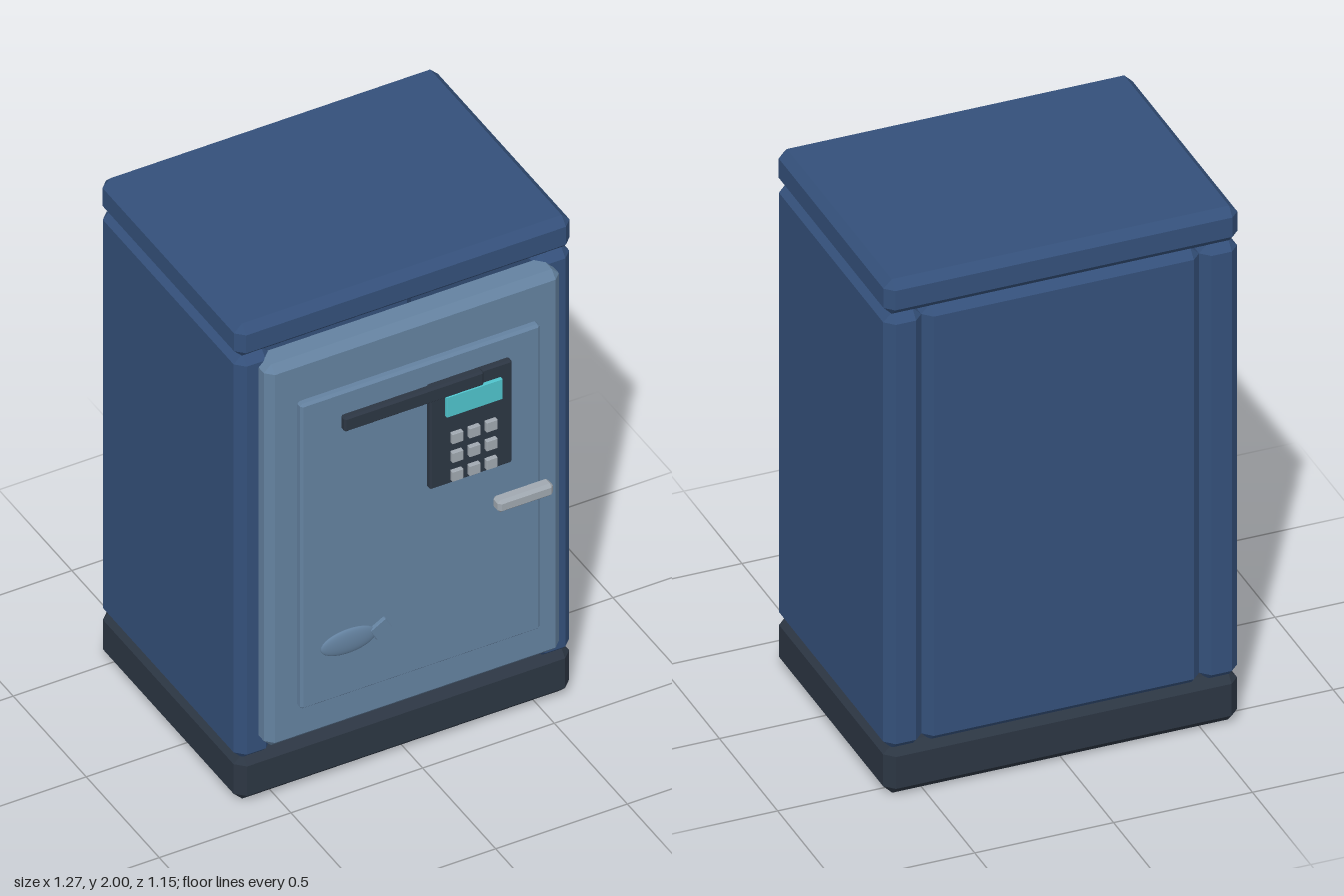
import * as THREE from 'three';
import { ConvexGeometry } from 'three/addons/geometries/ConvexGeometry.js';

const paint = (color) => new THREE.MeshStandardMaterial({ color, flatShading: true });

// Box with chamfered edges, given by its extents on each axis
function chamferBox(name, material, [x0, x1], [y0, y1], [z0, z1], c) {
  const w = (x1 - x0) / 2, h = (y1 - y0) / 2, d = (z1 - z0) / 2;
  const points = [];
  for (const sx of [-1, 1]) for (const sy of [-1, 1]) for (const sz of [-1, 1]) {
    points.push(
      new THREE.Vector3(sx * w, sy * (h - c), sz * (d - c)),
      new THREE.Vector3(sx * (w - c), sy * h, sz * (d - c)),
      new THREE.Vector3(sx * (w - c), sy * (h - c), sz * d));
  }
  const mesh = new THREE.Mesh(new ConvexGeometry(points), material);
  mesh.name = name;
  mesh.position.set((x0 + x1) / 2, (y0 + y1) / 2, (z0 + z1) / 2);
  return mesh;
}

export function createModel() {
  const safe = new THREE.Group();
  safe.name = 'safe';
  const blue = paint(0x34507a);
  const steel = paint(0x6482a0);
  const dark = paint(0x2c3643);
  const silver = paint(0xa0a8b0);
  const cyan = paint(0x4fc3cc);
  const depth = [-0.573, 0.387];

  // Cabinet: plinth, lid, two side walls and a back wall
  safe.add(
    chamferBox('base', dark, [-0.637, 0.637], [0, 0.19], depth, 0.033),
    chamferBox('lid', blue, [-0.637, 0.637], [1.865, 2], depth, 0.03),
    chamferBox('rightWall', blue, [-0.637, -0.5], [0.175, 1.87], depth, 0.032),
    chamferBox('leftWall', blue, [0.5, 0.637], [0.175, 1.87], depth, 0.032),
    chamferBox('backWall', blue, [-0.5, 0.5], [0.175, 1.87], [-0.573, -0.45], 0.032));

  // Door with its raised panel
  safe.add(
    chamferBox('door', steel, [-0.56, 0.56], [0.245, 1.845], [0.325, 0.45], 0.027),
    chamferBox('doorPanel', steel, [-0.455, 0.455], [0.405, 1.685], [0.453, 0.489], 0.009));

  // Keypad, screen and the bar above them
  safe.add(
    chamferBox('keypad', dark, [0.02, 0.332], [1.17, 1.6], [0.488, 0.516], 0.006),
    chamferBox('screen', cyan, [0.07, 0.282], [1.472, 1.558], [0.526, 0.541], 0.002),
    chamferBox('topBar', dark, [-0.318, 0.212], [1.555, 1.615], [0.51, 0.541], 0.007));
  for (let row = 0; row < 3; row++) for (let col = 0; col < 3; col++) {
    const x = 0.111 + col * 0.065, y = 1.375 - row * 0.079;
    safe.add(chamferBox('key', silver, [x - 0.021, x + 0.021], [y - 0.021, y + 0.021], [0.525, 0.543], 0.002));
  }

  // Door handle
  safe.add(chamferBox('handle', silver, [0.25, 0.46], [1.02, 1.07], [0.523, 0.573], 0.011));

  // Oval emblem with a small tilted tab
  const oval = new THREE.Mesh(new THREE.SphereGeometry(1, 32, 16), new THREE.MeshStandardMaterial({ color: 0x6482a0 }));
  oval.name = 'ovalEmblem';
  oval.scale.set(0.106, 0.05, 0.014);
  oval.position.set(-0.283, 0.643, 0.502);
  const tab = chamferBox('emblemTab', steel, [-0.197, -0.128], [0.625, 0.679], [0.495, 0.511], 0.003);
  tab.rotation.z = 0.53;
  safe.add(oval, tab);

  return safe;
}
